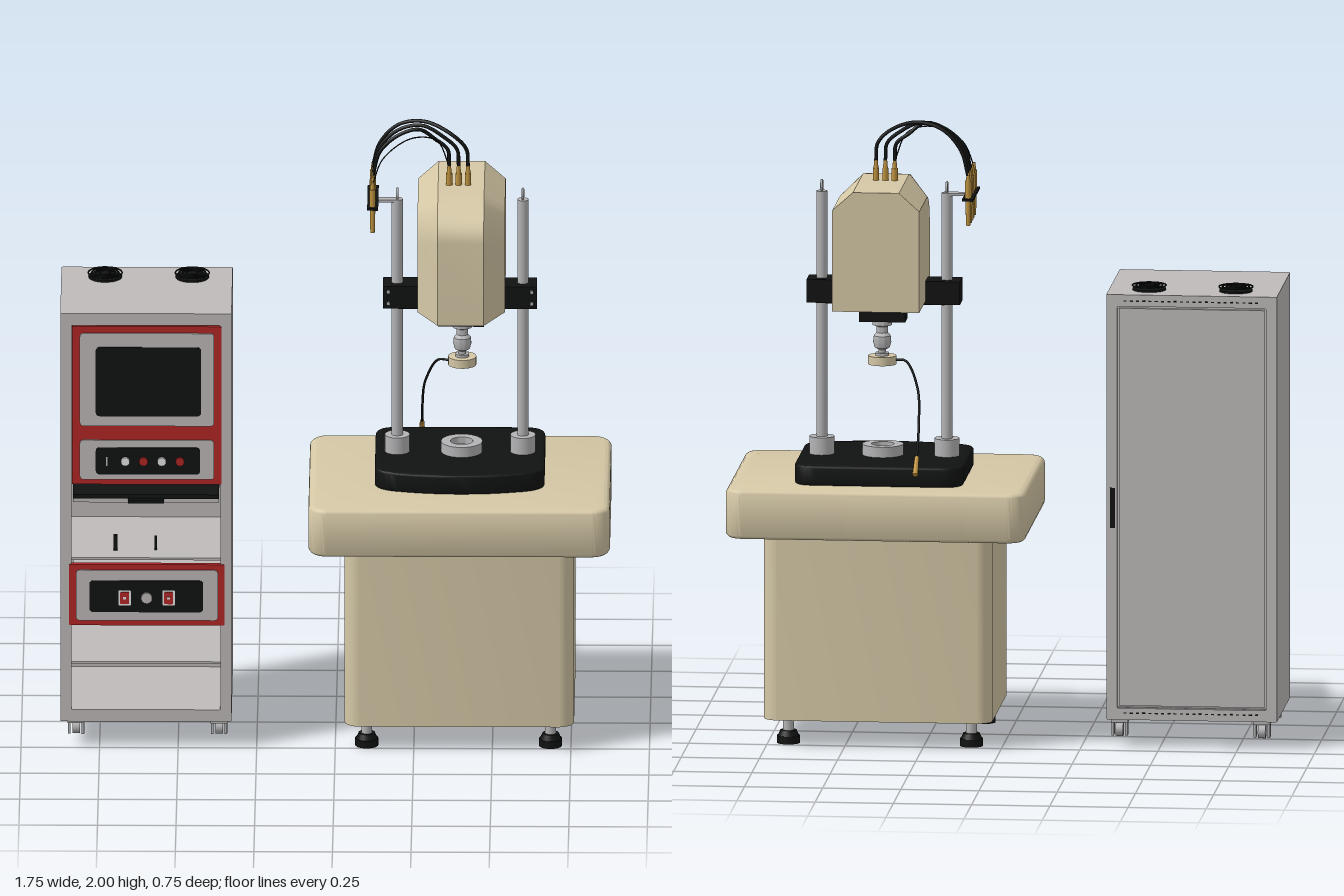
import * as THREE from 'three';
import { toCreasedNormals } from 'three/addons/utils/BufferGeometryUtils.js';

const mat = (name, color) => {
  const m = new THREE.MeshStandardMaterial({ color });
  m.name = name;
  return m;
};

export function createModel() {
  const root = new THREE.Group();
  const beige = mat('beige paint', 0xd5c8a6), grey = mat('cabinet grey', 0xbfbaba), steel = mat('steel', 0xb4b4b6);
  const black = mat('black', 0x111212), red = mat('red', 0xb32626), gold = mat('brass', 0xc09440);
  const white = mat('white', 0xe6e6e6);

  // ---- helpers ----
  const add = (parent, name, geo, material, x = 0, y = 0, z = 0) => {
    const m = new THREE.Mesh(geo, material);
    m.name = name;
    m.position.set(x, y, z);
    parent.add(m);
    return m;
  };
  const group = (name) => {
    const g = new THREE.Group();
    g.name = name;
    root.add(g);
    return g;
  };
  // box given by its limits
  const box = (p, name, m, x0, x1, y0, y1, z0, z1) =>
    add(p, name, new THREE.BoxGeometry(x1 - x0, y1 - y0, z1 - z0), m, (x0 + x1) / 2, (y0 + y1) / 2, (z0 + z1) / 2);
  const cyl = (p, name, m, x, z, y0, y1, r, r2 = r, n = 24) =>
    add(p, name, new THREE.CylinderGeometry(r2, r, y1 - y0, n), m, x, (y0 + y1) / 2, z);
  const roundRect = (w, h, r) => {
    const s = new THREE.Shape(), a = w / 2, b = h / 2;
    s.absarc(a - r, b - r, r, 0, Math.PI / 2);
    s.absarc(r - a, b - r, r, Math.PI / 2, Math.PI);
    s.absarc(r - a, r - b, r, Math.PI, Math.PI * 1.5);
    s.absarc(a - r, r - b, r, Math.PI * 1.5, Math.PI * 2);
    s.closePath();
    return s;
  };
  // horizontal slab from a shape, resting on y = 0
  const slab = (shape, h, bevel = 0) => {
    const g = new THREE.ExtrudeGeometry(shape, {
      depth: h - 2 * bevel, bevelEnabled: bevel > 0, bevelSize: bevel, bevelThickness: bevel,
      bevelOffset: -bevel, bevelSegments: 4, curveSegments: 8,
    });
    g.translate(0, 0, bevel).rotateX(-Math.PI / 2);
    return toCreasedNormals(g, 0.6);
  };
  // upright rounded plate, back face at z
  const plate = (p, name, m, x0, x1, y0, y1, z, t = 0.005, r = 0.012) =>
    add(p, name, new THREE.ExtrudeGeometry(roundRect(x1 - x0, y1 - y0, r), { depth: t, bevelEnabled: false, curveSegments: 4 }),
      m, (x0 + x1) / 2, (y0 + y1) / 2, z);
  const wire = (p, name, r, pts) =>
    add(p, name, new THREE.TubeGeometry(new THREE.CatmullRomCurve3(pts.map((q) => new THREE.Vector3(...q))), 40, r, 8), black);

  // ---- table ----
  const table = group('table');
  const cx = 0.395, cz = -0.03;
  add(table, 'tableTop', slab(roundRect(0.96, 0.745, 0.06), 0.16, 0.02), beige, cx, 0.683, 0);
  add(table, 'tableBody', slab(roundRect(0.73, 0.57, 0.05), 0.61), beige, cx, 0.085, 0);
  for (const x of [0.1, 0.685]) for (const z of [-0.205, 0.215]) {
    cyl(table, 'footPad', black, x, z, 0, 0.024, 0.037);
    cyl(table, 'footCap', black, x, z, 0.024, 0.042, 0.034, 0.026);
    cyl(table, 'footPost', steel, x, z, 0.04, 0.09, 0.017);
  }

  // ---- base plate with bowed front ----
  const test = group('testFrame');
  const s = new THREE.Shape();
  s.moveTo(-0.27, 0.2);
  s.quadraticCurveTo(-0.27, 0.265, -0.2, 0.265);
  s.lineTo(0.2, 0.265);
  s.quadraticCurveTo(0.27, 0.265, 0.27, 0.2);
  s.lineTo(0.27, -0.12);
  s.quadraticCurveTo(0.27, -0.17, 0.2, -0.188);
  s.quadraticCurveTo(0, -0.24, -0.2, -0.188);
  s.quadraticCurveTo(-0.27, -0.17, -0.27, -0.12);
  s.closePath();
  add(test, 'basePlate', slab(s, 0.064, 0.008), black, cx, 0.842, 0);

  // ---- columns, collars, lifting rings and clamps ----
  for (const x of [0.195, 0.595]) {
    cyl(test, 'column', steel, x, cz, 0.9, 1.755, 0.018);
    cyl(test, 'columnCollar', steel, x, cz, 0.9, 0.962, 0.04);
    add(test, 'liftingRing', new THREE.TorusGeometry(0.016, 0.004, 8, 20), steel, x, 1.773, cz).rotation.y = Math.PI / 2;
    const side = Math.sign(x - cx);
    const a = cx + side * 0.13, b = cx + side * 0.245;
    box(test, 'columnClamp', black, Math.min(a, b), Math.max(a, b), 1.4, 1.475, -0.075, 0.015);
    for (const y of [1.418, 1.457]) {
      const bolt = cyl(test, 'clampBolt', steel, cx + side * 0.228, 0.017, y - 0.003, y + 0.003, 0.006, 0.006, 10);
      bolt.rotation.x = Math.PI / 2;
    }
  }
  box(test, 'crossBeam', black, 0.2, 0.59, 1.398, 1.45, -0.07, 0.01);
  box(test, 'actuatorMount', black, 0.325, 0.472, 1.34, 1.4, -0.07, 0.015);

  // ---- head: four side profiles, the outer pair inset for the chamfer ----
  const profile = (front, top, rz, ry) => {
    const p = [[-0.28, 1.41], [front, 1.41]];
    for (let i = 0; i <= 10; i++) {
      const t = (i / 10) * Math.PI / 2;
      p.push([front - rz + rz * Math.cos(t), top - ry + ry * Math.sin(t)]);
    }
    p.push([-0.28, top]);
    return p;
  };
  const inner = profile(0.207, 1.796, 0.16, 0.11), outer = profile(0.075, 1.737, 0.095, 0.1);
  const loops = [[0.26, outer], [0.325, inner], [0.472, inner], [0.538, outer]];
  const pos = [], n = inner.length;
  const pt = (k, i) => [loops[k][0], loops[k][1][i % n][1], loops[k][1][i % n][0]];
  for (let k = 0; k < 3; k++) for (let i = 0; i < n; i++) {
    const a = pt(k, i), b = pt(k, i + 1), c = pt(k + 1, i), d = pt(k + 1, i + 1);
    pos.push(...a, ...c, ...b, ...b, ...c, ...d);
  }
  for (let i = 1; i < n - 1; i++) {
    pos.push(...pt(0, 0), ...pt(0, i), ...pt(0, i + 1));
    pos.push(...pt(3, 0), ...pt(3, i + 1), ...pt(3, i));
  }
  const headGeo = new THREE.BufferGeometry();
  headGeo.setAttribute('position', new THREE.Float32BufferAttribute(pos, 3));
  headGeo.computeVertexNormals();
  add(test, 'head', toCreasedNormals(headGeo, 0.4), beige);

  // ---- spindle, upper platen and lower specimen ring ----
  const rod = [[0, 1.345], [0.031, 1.345], [0.031, 1.325], [0.018, 1.32], [0.018, 1.3], [0.027, 1.29], [0.029, 1.27],
    [0.024, 1.252], [0.012, 1.245], [0.012, 1.235], [0.022, 1.235], [0.022, 1.22], [0, 1.22]];
  const lathe = (pts) => toCreasedNormals(new THREE.LatheGeometry(pts.map((q) => new THREE.Vector2(...q)).reverse(), 28), 0.6);
  add(test, 'spindle', lathe(rod), steel, 0.402, 0, cz);
  cyl(test, 'upperPlaten', beige, 0.402, cz, 1.198, 1.226, 0.045);
  add(test, 'specimenRing', lathe([[0.036, 0.9], [0.036, 0.94], [0.066, 0.94], [0.066, 0.9]]), steel, 0.4, 0, cz);
  cyl(test, 'specimenSeat', steel, 0.4, cz, 0.9, 0.918, 0.037);

  // ---- sensor cable down to the base plate ----
  wire(test, 'sensorCable', 0.004, [[0.36, 1.212, cz], [0.325, 1.21, -0.04], [0.285, 1.13, -0.075], [0.274, 1.02, -0.15], [0.272, 0.935, -0.235]]);
  const plug = cyl(test, 'sensorPlug', gold, 0.272, -0.262, 0.875, 0.947, 0.009, 0.007, 12);
  plug.rotation.x = 0.85;

  // ---- cable holder, plugs and looping cables ----
  box(test, 'cableHolder', black, 0.1, 0.135, 1.75, 1.758, -0.155, 0.072);
  box(test, 'holderArm', steel, 0.13, 0.205, 1.748, 1.756, -0.045, -0.015);
  const plugZ = [0.053, 0.005, -0.042, -0.09, -0.137];
  for (const z of plugZ) {
    cyl(test, 'holderPlugTail', gold, 0.117, z, 1.67, 1.75, 0.007, 0.009, 12);
    cyl(test, 'holderPlug', gold, 0.117, z, 1.75, 1.815, 0.01, 0.01, 12);
    cyl(test, 'holderPlugTip', gold, 0.117, z, 1.815, 1.84, 0.007, 0.005, 12);
  }
  [0.36, 0.39, 0.42].forEach((x, i) => {
    const z = -0.05;
    cyl(test, 'headPlug', gold, x, z, 1.79, 1.835, 0.01, 0.01, 12);
    cyl(test, 'headPlugTip', gold, x, z, 1.835, 1.868, 0.008, 0.005, 12);
    const z0 = plugZ[2 + i], top = 1.983 + i * 0.005;
    wire(test, 'loopCable', 0.006, [[0.117, 1.83, z0], [0.14, 1.91, z0 * 0.95 - 0.002], [0.2, top - 0.018, z0 * 0.8 - 0.01],
      [0.265 + i * 0.01, top, z0 * 0.5 - 0.025], [x - 0.045, top - 0.035, z - 0.005], [x - 0.005, 1.915, z], [x, 1.86, z]]);
  });
  wire(test, 'thinCable', 0.002, [[0.117, 1.83, 0.053], [0.15, 1.91, 0.03], [0.24, 1.965, -0.01], [0.32, 1.95, -0.035], [0.36, 1.86, -0.05]]);

  // ---- cabinet shell ----
  const cab = group('cabinet');
  const L = -0.875, R = -0.33, B = 0.09, T = 1.465, mx = (L + R) / 2;
  box(cab, 'cabinetSide', grey, L, L + 0.02, B, T, -0.19, 0.25);
  box(cab, 'cabinetSide', grey, R - 0.02, R, B, T, -0.19, 0.25);
  box(cab, 'cabinetTop', grey, L + 0.02, R - 0.02, T - 0.02, T, -0.19, 0.25);
  box(cab, 'cabinetFloor', grey, L + 0.02, R - 0.02, B, 0.13, -0.19, 0.25);
  box(cab, 'cabinetBack', grey, L + 0.02, R - 0.02, 0.13, T - 0.02, -0.18, -0.16);
  const ring = (w, h, iw, ih, t) => {
    const o = roundRect(w, h, 0.004);
    o.holes.push(roundRect(iw, ih, 0.004));
    return new THREE.ExtrudeGeometry(o, { depth: t, bevelEnabled: false, curveSegments: 2 });
  };
  add(cab, 'frontFrame', ring(0.545, 1.375, 0.475, 1.295, 0.03), grey, mx, 0.7775, 0.225);
  add(cab, 'backFrame', ring(0.545, 1.375, 0.475, 1.3, 0.012), grey, mx, 0.7775, -0.195);
  box(cab, 'backDoor', grey, L + 0.04, R - 0.04, B + 0.045, T - 0.045, -0.19, -0.17);
  box(cab, 'doorHandle', black, R - 0.028, R - 0.012, 0.71, 0.84, -0.199, -0.19);
  for (let i = 0; i < 22; i++) for (const y of [0.112, 1.445])
    box(cab, 'ventSlot', black, L + 0.06 + i * 0.02, L + 0.07 + i * 0.02, y - 0.002, y + 0.002, -0.1965, -0.194);

  // ---- shelves and drawer ----
  for (const y of [0.285, 0.635]) box(cab, 'shelf', grey, L + 0.02, R - 0.02, y - 0.008, y, -0.16, 0.235);
  box(cab, 'trayBottom', black, -0.835, -0.37, 0.842, 0.856, -0.15, 0.258);
  box(cab, 'trayFront', grey, -0.835, -0.37, 0.825, 0.84, 0.2, 0.245);
  box(cab, 'trayHandle', black, -0.66, -0.545, 0.828, 0.838, 0.245, 0.263);
  box(cab, 'shelfKnob', black, -0.706, -0.694, 0.635, 0.685, 0.15, 0.165);
  box(cab, 'shelfKnob', black, -0.576, -0.568, 0.635, 0.68, 0.15, 0.16);

  // ---- monitor and control module ----
  box(cab, 'upperModule', grey, -0.835, -0.365, 0.895, 1.42, -0.12, 0.24);
  plate(cab, 'upperRedPanel', red, -0.838, -0.362, 0.89, 1.422, 0.24, 0.017, 0.004);
  plate(cab, 'monitorPanel', grey, -0.813, -0.385, 1.088, 1.4, 0.257);
  plate(cab, 'screen', black, -0.762, -0.427, 1.122, 1.354, 0.262, 0.003);
  plate(cab, 'controlPanel', grey, -0.813, -0.385, 0.908, 1.04, 0.257);
  plate(cab, 'controlStrip', black, -0.762, -0.43, 0.926, 1.016, 0.262, 0.003);
  const knob = (m, x, y, r) => {
    const k = cyl(cab, 'button', m, x, 0.269, y - 0.005, y + 0.005, r, r, 16);
    k.rotation.x = Math.PI / 2;
  };
  [white, red, white, red].forEach((m, i) => knob(m, -0.668 + i * 0.058, 0.971, 0.014));
  box(cab, 'keySlot', grey, -0.729, -0.724, 0.955, 0.985, 0.264, 0.267);

  // ---- lower power module ----
  box(cab, 'lowerModule', grey, -0.835, -0.365, 0.42, 0.615, -0.12, 0.24);
  plate(cab, 'lowerRedPanel', red, -0.847, -0.352, 0.415, 0.62, 0.24, 0.018, 0.004);
  plate(cab, 'powerPanel', grey, -0.825, -0.373, 0.433, 0.602, 0.258);
  plate(cab, 'powerStrip', black, -0.782, -0.42, 0.462, 0.568, 0.263, 0.003);
  for (const x of [-0.67, -0.53]) {
    plate(cab, 'switchFrame', white, x - 0.02, x + 0.02, 0.486, 0.536, 0.266, 0.002, 0.003);
    plate(cab, 'switchKey', red, x - 0.014, x + 0.014, 0.491, 0.531, 0.268, 0.003, 0.003);
    box(cab, 'switchMark', white, x - 0.005, x + 0.005, 0.507, 0.515, 0.271, 0.273);
  }
  knob(grey, -0.6, 0.511, 0.018);

  // ---- roof fans ----
  for (const x of [-0.735, -0.458]) {
    cyl(cab, 'fanBase', black, x, -0.097, T, T + 0.006, 0.053, 0.053, 28);
    for (const r of [0.018, 0.031, 0.043, 0.054]) {
      const t = add(cab, 'fanGuardRing', new THREE.TorusGeometry(r, 0.0025, 6, 28), black, x, T + 0.015, -0.097);
      t.rotation.x = Math.PI / 2;
    }
    for (let i = 0; i < 2; i++)
      add(cab, 'fanGuardBar', new THREE.BoxGeometry(0.108, 0.004, 0.004), black, x, T + 0.013, -0.097).rotation.y = Math.PI / 4 + i * Math.PI / 2;
    cyl(cab, 'fanHub', black, x, -0.097, T, T + 0.016, 0.015);
  }

  // ---- casters ----
  for (const x of [-0.825, -0.37]) for (const z of [-0.15, 0.21]) {
    box(cab, 'casterPlate', steel, x - 0.027, x + 0.027, 0.078, 0.09, z - 0.027, z + 0.027);
    for (const d of [-0.022, 0.022]) box(cab, 'casterFork', steel, x + d - 0.004, x + d + 0.004, 0.035, 0.08, z - 0.022, z + 0.008);
    const w = cyl(cab, 'casterWheel', steel, x, z - 0.012, 0.042, 0.066, 0.022, 0.022, 16);
    w.rotation.z = Math.PI / 2;
  }
  return root;
}
